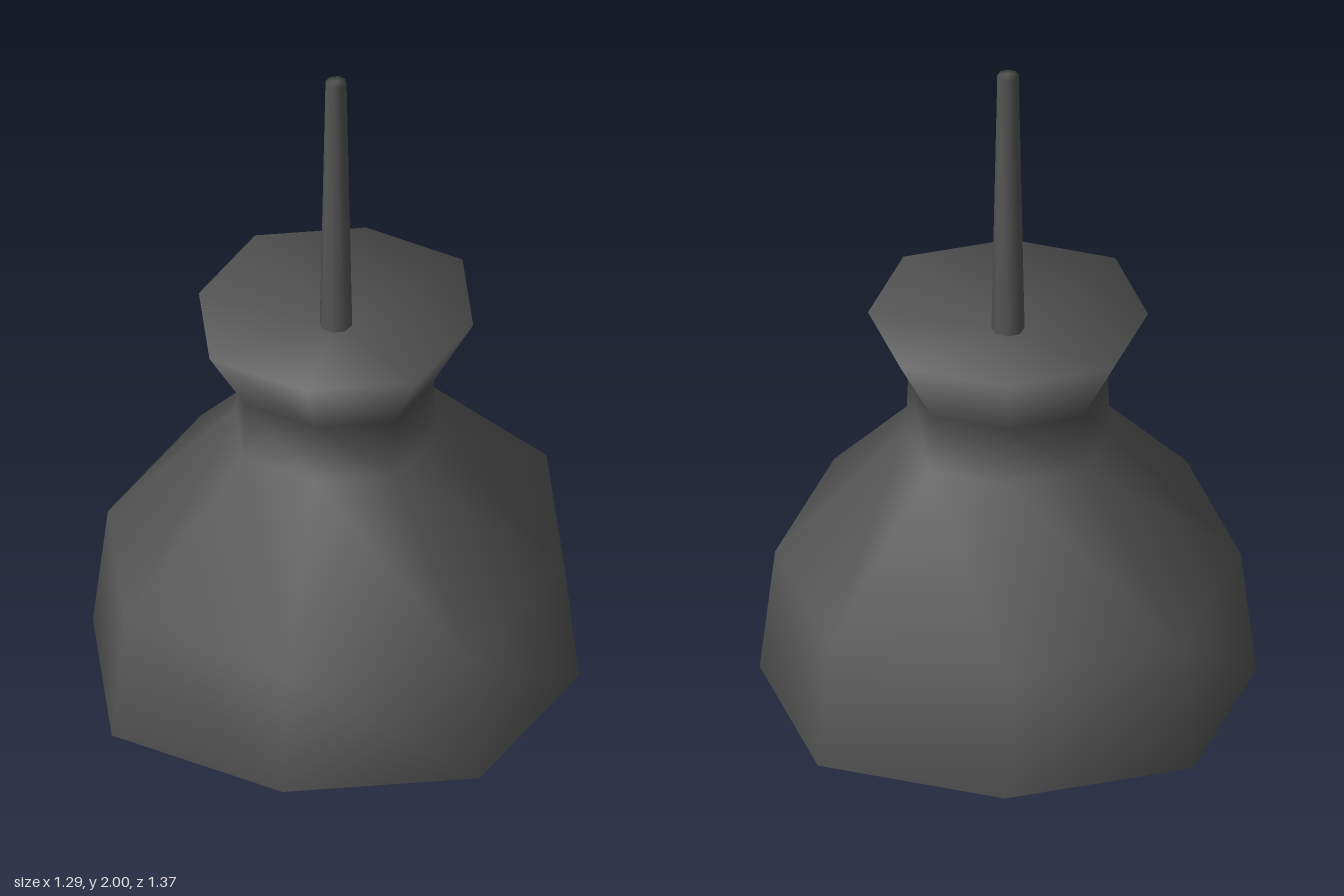
import * as THREE from 'three';
import { mergeVertices } from 'three/addons/utils/BufferGeometryUtils.js';

const SIDES = 8;

// Eight-sided smooth turned form: corners on the diagonals are pushed out, depth is slightly stretched
function turned(profile, depth = 1.06, diagonal = 1.07) {
  const lathe = new THREE.LatheGeometry(profile.map(([r, y]) => new THREE.Vector2(r, y)), SIDES);
  lathe.deleteAttribute('normal');
  lathe.deleteAttribute('uv');
  const p = lathe.attributes.position;
  for (let i = 0; i < p.count; i++) {
    const x = p.getX(i), z = p.getZ(i);
    const k = Math.abs(x) > 1e-4 && Math.abs(z) > 1e-4 ? diagonal : 1;
    p.setX(i, x * k);
    p.setZ(i, z * k * depth);
  }
  const g = mergeVertices(lathe, 1e-4);
  g.computeVertexNormals();
  return g;
}

export function createModel() {
  const group = new THREE.Group();
  const darkGrey = new THREE.MeshStandardMaterial({ color: 0x555555 });
  darkGrey.name = 'darkGrey';
  const cream = new THREE.MeshStandardMaterial({ color: 0xc8c6a2 });
  cream.name = 'cream';

  const add = (name, geometry, material) => {
    const mesh = new THREE.Mesh(geometry, material);
    mesh.name = name;
    group.add(mesh);
  };

  // Shade: inner lining down to the rim, then outer wall, neck, flared collar and dished top
  add('shade', turned([
    [0, 0.9], [0.23, 0.88], [0.54, 0.54], [0.58, 0.225],
    [0.647, 0.215], [0.607, 0.56], [0.267, 0.93], [0.26, 1.09],
    [0.365, 1.28], [0, 1.23],
  ]), darkGrey);

  // Bulb, partly hidden in the shade
  add('bulb', turned([
    [0, 0], [0.265, 0.04], [0.403, 0.175], [0.403, 0.32], [0.265, 0.46], [0, 0.5],
  ]), cream);

  // Tapered hanging stem
  add('stem', turned([
    [0, 1.2], [0.044, 1.2], [0.028, 1.995], [0, 2],
  ], 1.06, 1), darkGrey);

  return group;
}
